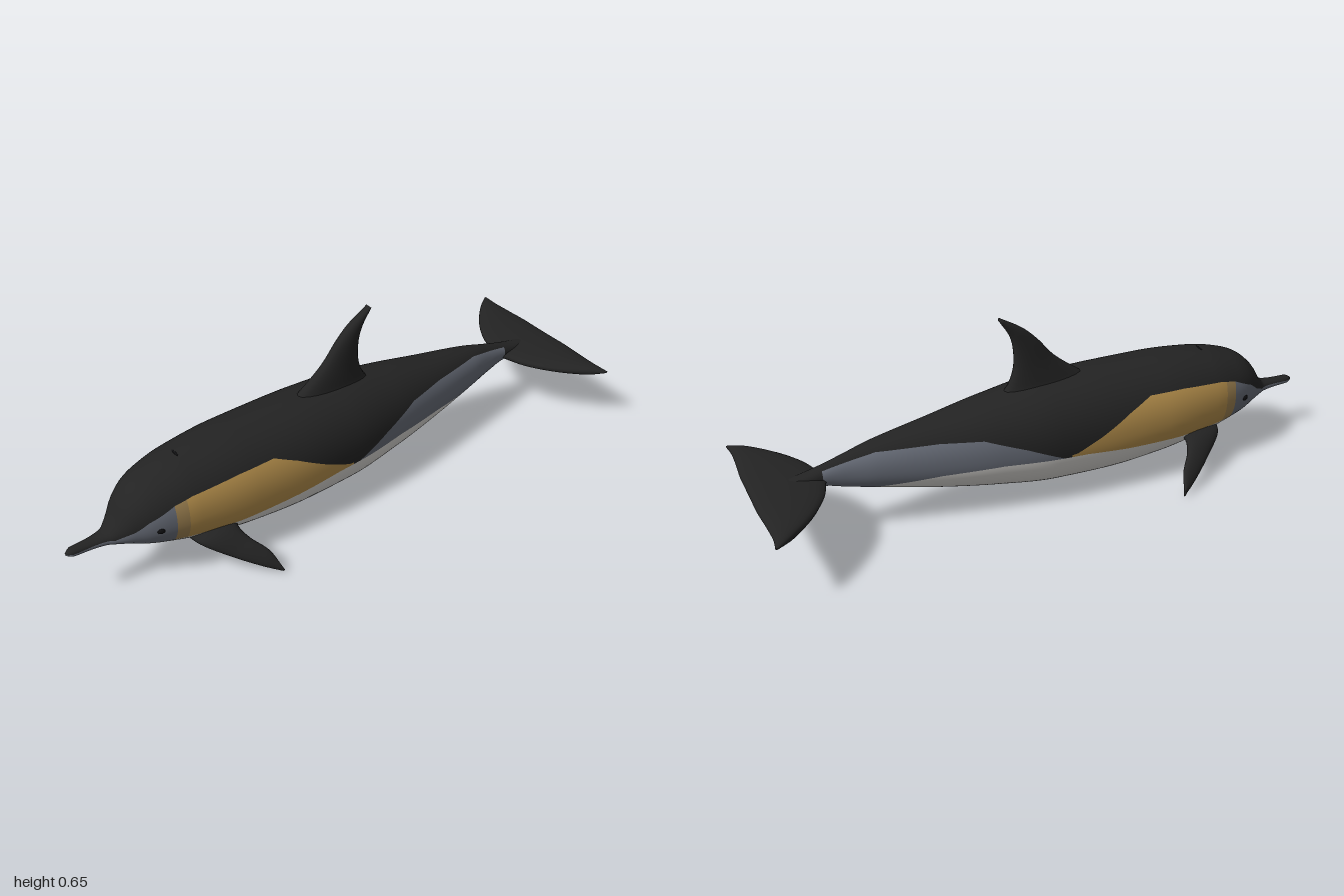
import * as THREE from 'three';

const mat = (name, color) => Object.assign(new THREE.MeshStandardMaterial({ color }), { name });

// Body stations: z, top, bottom, half width
const STATIONS = [
  [-0.92, 0.235, 0.212, 0.012], [-0.82, 0.254, 0.206, 0.028], [-0.76, 0.27, 0.198, 0.03],
  [-0.7, 0.288, 0.18, 0.037], [-0.6, 0.315, 0.155, 0.06], [-0.4, 0.35, 0.11, 0.102],
  [-0.2, 0.385, 0.075, 0.14], [0, 0.41, 0.05, 0.166], [0.2, 0.417, 0.046, 0.172],
  [0.4, 0.416, 0.06, 0.167], [0.6, 0.4, 0.095, 0.146], [0.7, 0.376, 0.122, 0.125],
  [0.75, 0.355, 0.137, 0.108], [0.8, 0.312, 0.157, 0.08], [0.84, 0.25, 0.169, 0.05],
  [0.87, 0.22, 0.177, 0.031], [0.92, 0.213, 0.182, 0.022], [0.98, 0.212, 0.184, 0.017], [1, 0.2, 0.194, 0.003],
];
// Colour borders along the flank: z, y
const DARK_EDGE = [
  [-0.92, 0.23], [-0.76, 0.262], [-0.6, 0.298], [-0.4, 0.302], [-0.26, 0.295], [-0.12, 0.245], [0, 0.192],
  [0.05, 0.2], [0.14, 0.244], [0.25, 0.305], [0.33, 0.341], [0.46, 0.337], [0.62, 0.322],
  [0.68, 0.307], [0.76, 0.268], [0.8, 0.235], [0.85, 0.204], [1, 0.198],
];
const PALE_EDGE = [
  [-0.92, 0.1], [-0.66, 0.16], [-0.6, 0.169], [-0.4, 0.19], [-0.2, 0.197], [0, 0.19], [0.09, 0.187],
  [0.25, 0.17], [0.46, 0.156], [0.67, 0.158], [0.73, 0.163], [0.8, 0.174], [0.87, 0.184], [1, 0.193],
];

function linear(table, z) {
  let i = 0;
  while (i < table.length - 2 && z > table[i + 1][0]) i++;
  const [a, b] = [table[i], table[i + 1]];
  return a[1] + (b[1] - a[1]) * THREE.MathUtils.clamp((z - a[0]) / (b[0] - a[0]), 0, 1);
}

// Smooth interpolation without overshoot
function smooth(col, z) {
  const S = STATIONS, n = S.length;
  let i = 0;
  while (i < n - 2 && z > S[i + 1][0]) i++;
  const slope = k => (S[k + 1][col] - S[k][col]) / (S[k + 1][0] - S[k][0]);
  const tangent = k => {
    if (k === 0 || k === n - 1) return slope(k ? k - 1 : 0);
    const a = slope(k - 1), b = slope(k);
    return a * b <= 0 ? 0 : 2 * a * b / (a + b);
  };
  const h = S[i + 1][0] - S[i][0], t = THREE.MathUtils.clamp((z - S[i][0]) / h, 0, 1);
  const t2 = t * t, t3 = t2 * t;
  return S[i][col] * (2 * t3 - 3 * t2 + 1) + S[i + 1][col] * (3 * t2 - 2 * t3)
    + h * (tangent(i) * (t3 - 2 * t2 + t) + tangent(i + 1) * (t3 - t2));
}

const POWER = 2.15;
const bend = v => Math.sign(v) * Math.abs(v) ** (2 / POWER);
// Point on the skin; angle runs from belly (-PI/2) to back (PI/2)
function skin(z, a) {
  const top = smooth(1, z), bottom = smooth(2, z);
  return new THREE.Vector3(smooth(3, z) * bend(Math.cos(a)),
    (top + bottom) / 2 + (top - bottom) / 2 * bend(Math.sin(a)), z);
}
function angleAt(z, y) {
  const top = smooth(1, z), bottom = smooth(2, z);
  const s = THREE.MathUtils.clamp((2 * y - top - bottom) / (top - bottom), -1, 1);
  return Math.sign(s) * Math.asin(Math.abs(s) ** (POWER / 2));
}
function skinNormal(z, a) {
  const e = 0.004, d = 0.03;
  const dz = skin(Math.min(z + e, 1), a).sub(skin(Math.max(z - e, -0.92), a));
  const da = skin(z, a + d).sub(skin(z, a - d));
  return da.cross(dz).normalize();
}

// One colour band of the skin, on both sides, between two border angles
function band(from, to, z0, z1, segments, material, name) {
  const pos = [], nor = [], idx = [], rows = Math.round((z1 - z0) / 0.01), w = segments + 1;
  for (const side of [1, -1]) {
    const base = pos.length / 3;
    for (let i = 0; i <= rows; i++) {
      const z = z0 + (z1 - z0) * i / rows, a0 = from(z), a1 = to(z);
      for (let j = 0; j <= segments; j++) {
        const a = a0 + (a1 - a0) * j / segments, p = skin(z, a), n = skinNormal(z, a);
        pos.push(p.x * side, p.y, p.z);
        nor.push(n.x * side, n.y, n.z);
        if (i === rows || j === segments) continue;
        const k = base + i * w + j;
        if (side > 0) idx.push(k, k + 1, k + w, k + 1, k + w + 1, k + w);
        else idx.push(k, k + w, k + 1, k + 1, k + w, k + w + 1);
      }
    }
  }
  const g = new THREE.BufferGeometry();
  g.setAttribute('position', new THREE.Float32BufferAttribute(pos, 3));
  g.setAttribute('normal', new THREE.Float32BufferAttribute(nor, 3));
  g.setIndex(idx);
  return Object.assign(new THREE.Mesh(g, material), { name });
}

// Fin lofted between a leading and a trailing edge
function fin(lead, trail, thick, normal, material, name, side = 1) {
  const curve = pts => new THREE.CatmullRomCurve3(pts.map(p => new THREE.Vector3(p[0] * side, p[1], p[2])));
  const L = curve(lead), T = curve(trail), N = 36, M = 20, pos = [], idx = [];
  const n = new THREE.Vector3(normal[0] * side, normal[1], normal[2]).normalize();
  for (let i = 0; i <= N; i++) {
    const u = i / N, a = L.getPoint(u), b = T.getPoint(u);
    const f = u * (thick.length - 1), k = Math.min(Math.floor(f), thick.length - 2);
    const th = THREE.MathUtils.lerp(thick[k], thick[k + 1], f - k);
    for (let j = 0; j < M; j++) {
      const t = j / M * Math.PI * 2, s = Math.sin(t);
      const p = b.clone().lerp(a, (1 + Math.cos(t)) / 2).addScaledVector(n, th * Math.sign(s) * Math.abs(s) ** 0.85);
      pos.push(p.x, p.y, p.z);
      const j2 = (j + 1) % M, r = i * M;
      if (i < N) idx.push(r + j, r + j2, r + M + j, r + j2, r + M + j2, r + M + j);
    }
  }
  for (const [u, row, flip] of [[0, 0, false], [1, N * M, true]]) {
    const c = L.getPoint(u).lerp(T.getPoint(u), 0.5), ci = pos.length / 3;
    pos.push(c.x, c.y, c.z);
    for (let j = 0; j < M; j++) {
      const a = row + j, b = row + (j + 1) % M;
      idx.push(ci, flip ? a : b, flip ? b : a);
    }
  }
  // Turn the faces outward whichever way the loft runs
  const v = k => new THREE.Vector3().fromArray(pos, idx[k] * 3);
  let volume = 0;
  for (let k = 0; k < idx.length; k += 3) volume += v(k).dot(v(k + 1).cross(v(k + 2)));
  if (volume < 0) idx.reverse();
  const g = new THREE.BufferGeometry();
  g.setAttribute('position', new THREE.Float32BufferAttribute(pos, 3));
  g.setIndex(idx);
  g.computeVertexNormals();
  return Object.assign(new THREE.Mesh(g, material), { name });
}

export function createModel() {
  const model = new THREE.Group();
  model.name = 'dolphin';
  const black = mat('black skin', 0x232323), grey = mat('grey skin', 0x666b76), white = mat('white belly', 0xd6d4d0);
  const tan = mat('tan flank', 0xb48e4b), shade = mat('tan border', 0x9c8050), eyeDark = mat('eye', 0x101012);

  // Body skin
  const belly = () => -Math.PI / 2, back = () => Math.PI / 2;
  const pale = z => angleAt(z, linear(PALE_EDGE, z));
  const dark = z => Math.max(pale(z), angleAt(z, linear(DARK_EDGE, z)));
  model.add(
    band(belly, pale, -0.77, 1, 14, white, 'belly'),
    band(dark, back, -0.77, 1, 14, black, 'back'),
    band(pale, dark, 0.68, 1, 10, grey, 'face'),
    band(pale, dark, 0.64, 0.68, 10, shade, 'flankPatchBorder'),
    band(pale, dark, 0.03, 0.64, 10, tan, 'flankPatch'),
    band(pale, dark, 0, 0.03, 10, black, 'saddlePoint'),
    band(pale, dark, -0.77, 0, 10, grey, 'rearFlank'),
    band(belly, back, -0.92, -0.77, 28, black, 'tailStock'),
  );

  // Dorsal fin
  model.add(fin(
    [[0, 0.37, 0.2], [0, 0.42, 0.13], [0, 0.49, 0.04], [0, 0.56, -0.02], [0, 0.607, -0.07], [0, 0.655, -0.148]],
    [[0, 0.35, -0.19], [0, 0.4, -0.135], [0, 0.46, -0.108], [0, 0.53, -0.105], [0, 0.585, -0.117], [0, 0.648, -0.155]],
    [0.05, 0.036, 0.029, 0.024, 0.02, 0.012], [1, 0, 0], black, 'dorsalFin'));

  // Tail flukes, tip to tip
  const half = [[0.05, -0.768, -1], [0.11, -0.79, -1], [0.2, -0.85, -0.994], [0.28, -0.93, -0.992], [0.322, -0.988, -0.998]];
  const span = [...half.map(([x, a, b]) => [-x, a, b]).reverse(), [0, -0.755, -1], ...half];
  model.add(fin(span.map(([x, a]) => [x, 0.224, a]), span.map(([x, , b]) => [x, 0.224, b]),
    [0.003, 0.016, 0.02, 0.02, 0.02, 0.02, 0.02, 0.02, 0.02, 0.016, 0.003], [0, 1, 0], black, 'tailFlukes'));

  for (const side of [1, -1]) {
    const label = side > 0 ? 'left' : 'right';
    // Flippers
    model.add(fin(
      [[0.09, 0.14, 0.63], [0.135, 0.125, 0.61], [0.195, 0.077, 0.535], [0.25, 0.033, 0.455], [0.28, 0.005, 0.4]],
      [[0.09, 0.16, 0.45], [0.145, 0.14, 0.475], [0.187, 0.113, 0.46], [0.235, 0.073, 0.42], [0.286, 0.015, 0.398]],
      [0.026, 0.022, 0.016, 0.013, 0.006], [0.71, 0.67, 0.23], black, label + 'Flipper', side));
    // Eyes
    const a = angleAt(0.73, 0.229), p = skin(0.73, a), n = skinNormal(0.73, a);
    const eye = new THREE.Mesh(new THREE.SphereGeometry(0.012, 16, 12), eyeDark);
    eye.name = label + 'Eye';
    eye.scale.set(1, 0.85, 0.4);
    eye.position.set(p.x * side, p.y, p.z);
    eye.quaternion.setFromUnitVectors(new THREE.Vector3(0, 0, 1), new THREE.Vector3(n.x * side, n.y, n.z));
    model.add(eye);
  }

  // Blowhole slit
  const hole = new THREE.Mesh(new THREE.SphereGeometry(0.02, 16, 8), eyeDark);
  hole.name = 'blowhole';
  hole.scale.set(1, 0.1, 0.2);
  hole.position.set(0, smooth(1, 0.6), 0.6);
  model.add(hole);
  return model;
}
